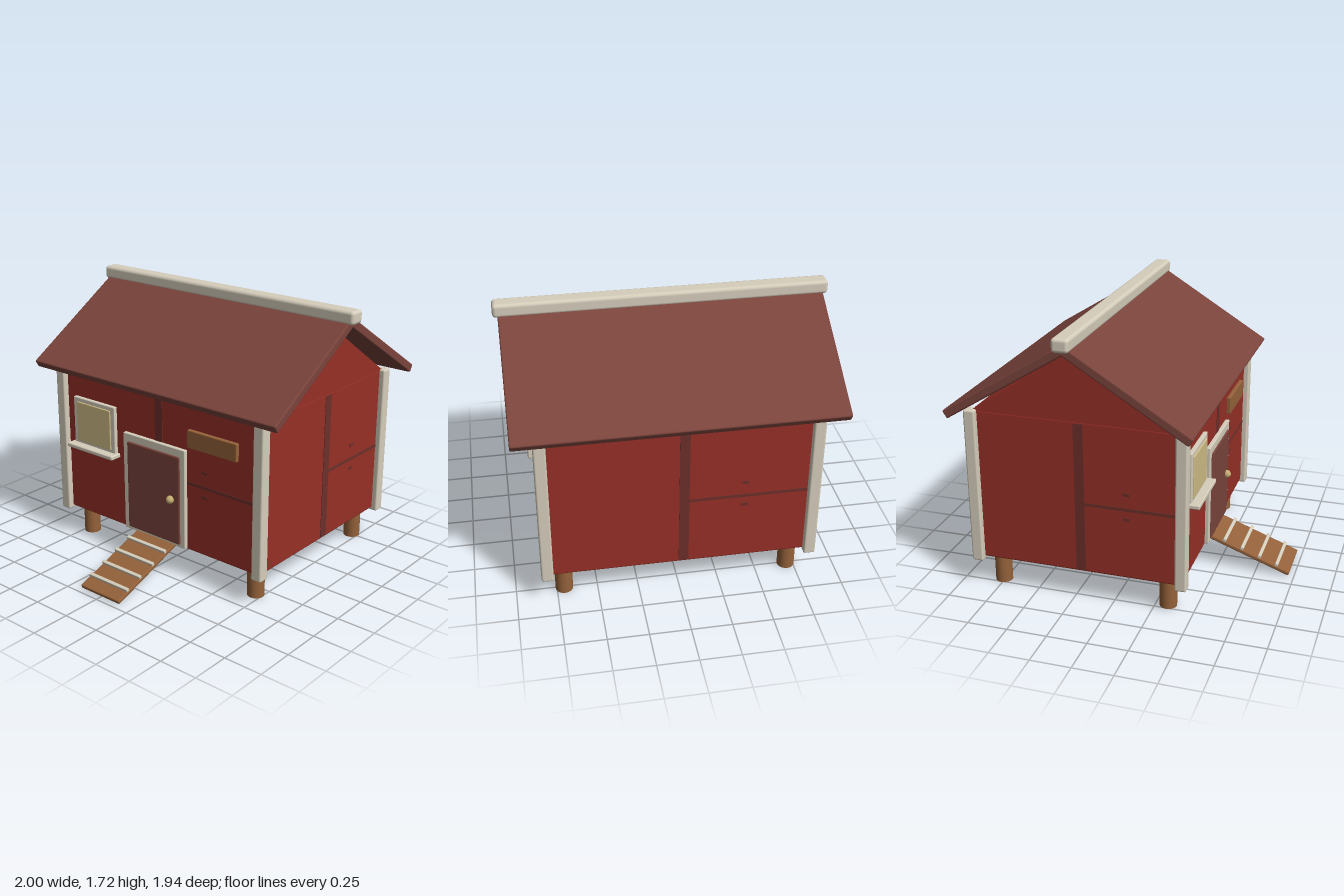
import * as THREE from 'three';
import { RoundedBoxGeometry } from 'three/addons/geometries/RoundedBoxGeometry.js';

const mat = (name, color, side = THREE.FrontSide) => {
  const m = new THREE.MeshStandardMaterial({ color, side });
  m.name = name;
  return m;
};

export function createModel() {
  const red = mat('barn red', 0x962f26);
  const seam = mat('seam brown', 0x6c2f2a);
  const maroon = mat('maroon', 0x7a443c);
  const trim = mat('cream trim', 0xd6cebc);
  const wood = mat('wood', 0x95623a);
  const pane = mat('straw pane', 0xd0bd86);
  const brass = mat('brass', 0xc4ad72);

  const model = new THREE.Group();
  model.name = 'coop';
  const add = (name, geo, material, x, y, z, parent = model) => {
    const mesh = new THREE.Mesh(geo, material);
    mesh.name = name;
    mesh.position.set(x, y, z);
    parent.add(mesh);
    return mesh;
  };
  // softly rounded box given by its size and centre
  const rbox = (name, material, w, h, d, x, y, z, r = 0.008, parent = model) =>
    add(name, new RoundedBoxGeometry(w, h, d, 2, Math.min(r, w / 2.1, h / 2.1, d / 2.1)), material, x, y, z, parent);

  const ZC = -0.215, HX = 0.808, HZ = 0.652; // house centre and half sizes
  const front = ZC + HZ;

  // walls
  rbox('walls', red, HX * 2, 0.975, HZ * 2, 0, 0.6875, ZC, 0.012);

  // gable prism under the roof
  const tri = new THREE.Shape([
    new THREE.Vector2(-HZ, 0), new THREE.Vector2(HZ, 0), new THREE.Vector2(0, 0.44),
  ]);
  const gableGeo = new THREE.ExtrudeGeometry(tri, { depth: HX * 2, bevelEnabled: false });
  gableGeo.translate(0, 0, -HX);
  gableGeo.rotateY(-Math.PI / 2);
  add('gable', gableGeo, red, 0, 1.17, ZC);

  // plank seams on each wall: one upright, one half rail, two nail marks
  [[0, HX, HZ], [1, HZ, HX], [2, HX, HZ], [3, HZ, HX]].forEach(([turn, half, out]) => {
    const wall = new THREE.Group();
    wall.name = 'wallSeams';
    wall.position.z = ZC;
    wall.rotation.y = turn * Math.PI / 2;
    model.add(wall);
    const plate = (name, w, h, x, y) =>
      add(name, new THREE.BoxGeometry(w, h, 0.004), seam, x, y, out + 0.001, wall);
    plate('uprightSeam', 0.06, 0.95, 0.022, 0.6875);
    plate('railSeam', half - 0.05, 0.02, 0.05 + (half - 0.05) / 2, 0.655);
    for (const y of [0.75, 0.59]) plate('nailMark', 0.04, 0.02, half * 0.48, y);
  });
  add('floorSeam', new THREE.BoxGeometry(HX * 2 - 0.04, 0.004, 0.06), seam, 0, 0.199, ZC);

  // corner posts and legs
  for (const sx of [-1, 1]) {
    for (const sz of [-1, 1]) {
      rbox('cornerPost', trim, 0.073, 1.0, 0.073, sx * HX, 0.682, ZC + sz * HZ, 0.012);
      add('leg', new THREE.CylinderGeometry(0.054, 0.054, 0.2, 20), wood, sx * 0.705, 0.1, ZC + sz * 0.543);
    }
  }

  // roof slabs and ridge cap
  for (const s of [-1, 1]) {
    const slab = rbox('roofSlab', maroon, 1.94, 0.055, 0.887, 0, 1.424, ZC + s * 0.363, 0.01);
    slab.rotation.x = s * 0.553;
  }
  rbox('ridgeCap', trim, 2.0, 0.085, 0.105, 0, 1.682, ZC, 0.022);

  // window
  rbox('windowFrame', trim, 0.365, 0.33, 0.03, -0.517, 0.845, front + 0.01, 0.006);
  rbox('windowPane', pane, 0.3, 0.27, 0.03, -0.518, 0.847, front + 0.017, 0.006);
  rbox('windowSill', trim, 0.405, 0.028, 0.09, -0.517, 0.684, front + 0.035, 0.008);

  // door
  rbox('doorFrame', trim, 0.51, 0.66, 0.03, -0.005, 0.537, front + 0.01, 0.006);
  rbox('door', maroon, 0.435, 0.59, 0.03, -0.005, 0.521, front + 0.019, 0.01);
  add('doorKnob', new THREE.SphereGeometry(0.026, 20, 14), brass, 0.145, 0.523, front + 0.042);

  // wooden plaque
  rbox('plaque', wood, 0.375, 0.115, 0.03, 0.457, 0.952, front + 0.01, 0.006);

  // ramp with cleats
  const ramp = new THREE.Group();
  ramp.name = 'ramp';
  ramp.position.set(0, 0.115, 0.7);
  ramp.rotation.x = 0.349;
  model.add(ramp);
  rbox('rampBoard', wood, 0.322, 0.026, 0.57, 0, 0, 0, 0.008, ramp);
  for (const z of [0.19, 0.07, -0.052, -0.174]) {
    rbox('rampCleat', trim, 0.322, 0.022, 0.022, 0, 0.021, z, 0.004, ramp);
  }

  return model;
}
